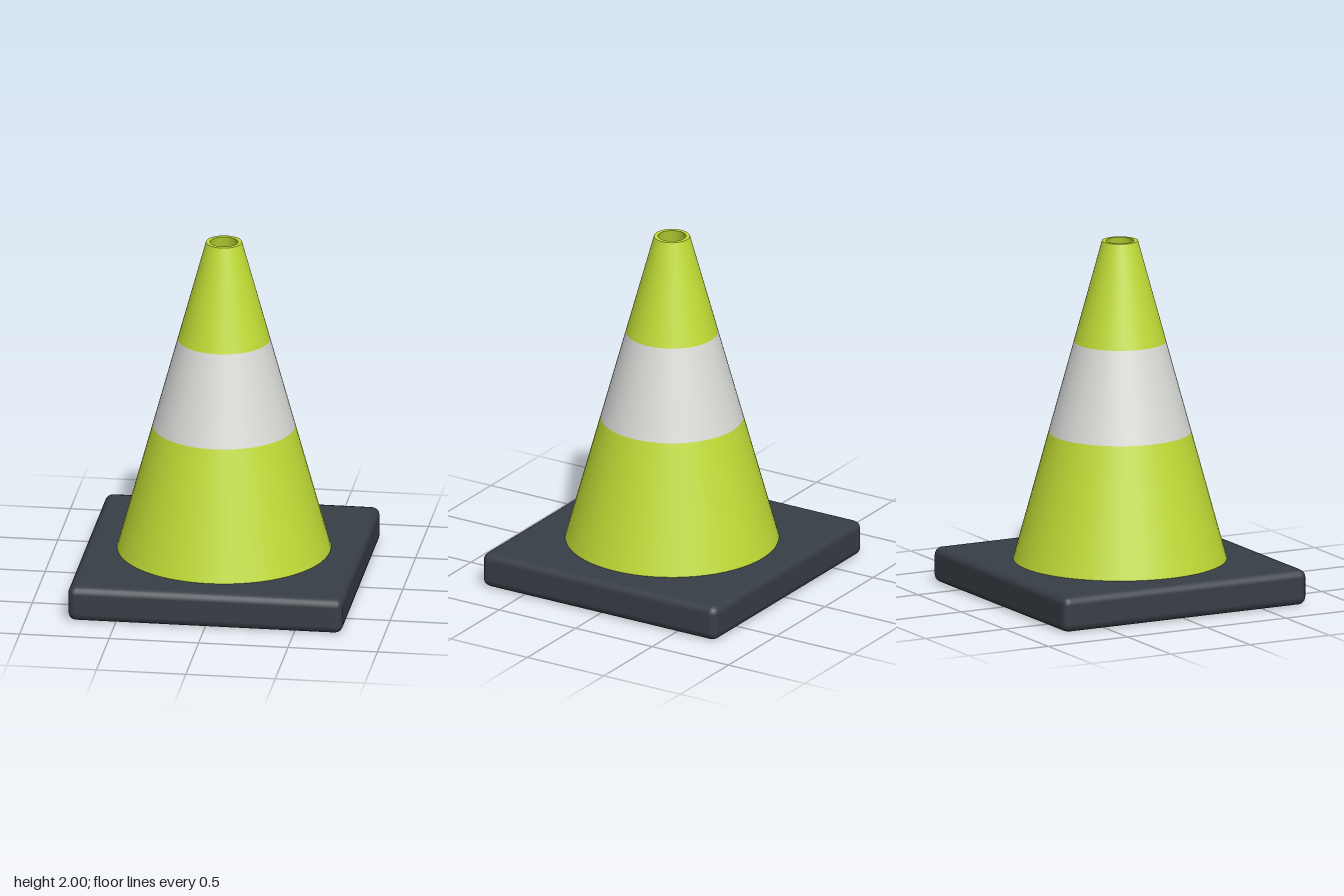
import * as THREE from 'three';
import { RoundedBoxGeometry } from 'three/addons/geometries/RoundedBoxGeometry.js';

const BASE_TOP = 0.2, TOP = 2, SEGMENTS = 64;
const WALL = 0.023;

// outer radius of the cone at height y
const radiusAt = (y) => THREE.MathUtils.mapLinear(y, BASE_TOP, TOP, 0.592, 0.1);

function material(name, color) {
  const m = new THREE.MeshStandardMaterial({ color });
  m.name = name;
  return m;
}

export function createModel() {
  const lime = material('lime', 0xc0dc36);
  const white = material('reflective white', 0xdadcd8);
  const rubber = material('dark rubber', 0x383e46);

  const model = new THREE.Group();
  model.name = 'trafficCone';

  function add(name, geometry, mat) {
    const mesh = new THREE.Mesh(geometry, mat);
    mesh.name = name;
    model.add(mesh);
    return mesh;
  }

  // surface of revolution between two [radius, height] points
  const ring = (a, b) =>
    new THREE.LatheGeometry([new THREE.Vector2(...a), new THREE.Vector2(...b)], SEGMENTS);

  // square foot with softened edges
  add('base', new RoundedBoxGeometry(1.535, BASE_TOP, 1.535, 2, 0.045), rubber)
    .position.y = BASE_TOP / 2;

  // outer wall, split into colour bands
  const bands = [
    ['lowerCone', BASE_TOP, 0.92, lime],
    ['reflectiveBand', 0.92, 1.43, white],
    ['upperCone', 1.43, TOP, lime],
  ];
  for (const [name, y0, y1, mat] of bands) {
    add(name, ring([radiusAt(y0), y0], [radiusAt(y1), y1]), mat);
  }

  // flat rim and hollow inside
  const innerTop = radiusAt(TOP) - WALL, innerBottom = radiusAt(BASE_TOP) - WALL;
  add('rim', ring([radiusAt(TOP), TOP], [innerTop, TOP]), lime);
  add('innerWall', ring([innerTop, TOP], [innerBottom, BASE_TOP]), lime);

  return model;
}
